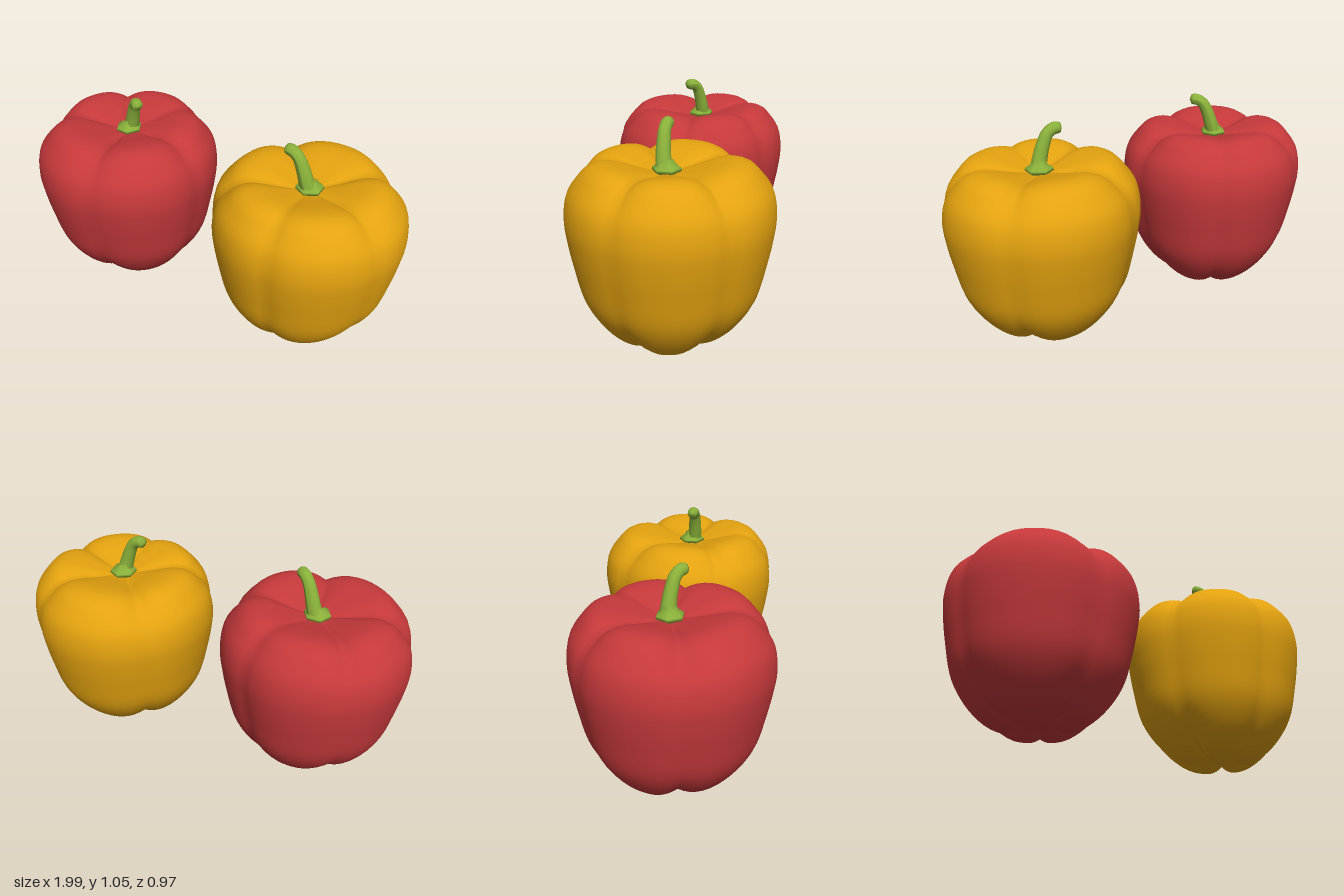
import * as THREE from 'three';
import { mergeVertices } from 'three/addons/utils/BufferGeometryUtils.js';

// Silhouette of the fattest lobe, from the bottom dimple up to the stem dimple
const PROFILE = [
  [0, 0.04], [0.06, 0.03], [0.144, 0.003], [0.213, 0.025], [0.288, 0.08], [0.357, 0.16],
  [0.415, 0.264], [0.454, 0.42], [0.476, 0.536], [0.487, 0.647], [0.468, 0.757], [0.42, 0.826],
  [0.376, 0.87], [0.315, 0.89], [0.26, 0.886], [0.195, 0.872], [0.12, 0.85], [0.05, 0.832], [0, 0.828],
];
// Creases between lobes: angle, radius there, and how deep the crease cuts at top and bottom
const GROOVES = [
  { angle: 20, radius: 0.456, depth: 0.9 },
  { angle: 90, radius: 0.436, depth: 0.5 },
  { angle: 154, radius: 0.452, depth: 0.9 },
  { angle: 229, radius: 0.463, depth: 1 },
  { angle: 315, radius: 0.46, depth: 1 },
];
// Radius of the lobe that follows each crease
const LOBES = [0.462, 0.462, 0.48, 0.49, 0.478];
const STEPS = 14;
const ROWS = 48;

// Lobed body: the profile swept round, pinched at each crease
function bodyGeometry() {
  const curve = new THREE.CatmullRomCurve3(PROFILE.map(([r, y]) => new THREE.Vector3(r, y, 0)));
  const rows = curve.getSpacedPoints(ROWS);
  const around = LOBES.length * STEPS;
  const positions = [], index = [];
  for (const p of rows) {
    const r0 = Math.max(0, p.x);
    const fade = THREE.MathUtils.smoothstep(r0, 0, 0.2);
    const ends = Math.pow(Math.abs(p.y - 0.45) / 0.45, 3);
    for (let i = 0; i < around; i++) {
      const lobe = Math.floor(i / STEPS);
      const t = (i % STEPS) / STEPS;
      const from = GROOVES[lobe], to = GROOVES[(lobe + 1) % GROOVES.length];
      const span = (to.angle - from.angle + 360) % 360;
      const angle = THREE.MathUtils.degToRad(from.angle + span * t);
      const near = t < 0.5 ? from : to;
      const pinch = Math.pow(Math.abs(2 * t - 1), 2.8);
      const radius = THREE.MathUtils.lerp(LOBES[lobe], near.radius, pinch) / 0.487;
      const cut = 1 - 0.1 * near.depth * pinch * ends * fade;
      const r = r0 * radius * cut;
      positions.push(r * Math.cos(angle), 0.45 + (p.y - 0.45) * cut, r * Math.sin(angle));
    }
  }
  for (let j = 0; j < ROWS; j++) {
    for (let i = 0; i < around; i++) {
      const a = j * around + i, b = j * around + (i + 1) % around;
      index.push(a, a + around, b, b, a + around, b + around);
    }
  }
  let geometry = new THREE.BufferGeometry();
  geometry.setAttribute('position', new THREE.Float32BufferAttribute(positions, 3));
  geometry.setIndex(index);
  geometry = mergeVertices(geometry, 1e-5);
  geometry.computeVertexNormals();
  return geometry;
}

// Curved stem: a tube narrowed towards a rounded tip
function stemGeometry() {
  const path = new THREE.CatmullRomCurve3([
    [0.005, 0.82, 0.01], [-0.015, 0.89, 0.018], [-0.035, 0.95, 0.02],
    [-0.06, 1.0, 0.02], [-0.092, 1.022, 0.016], [-0.132, 1.022, 0.01],
  ].map((p) => new THREE.Vector3(...p)));
  const rows = 28, sides = 12;
  const geometry = new THREE.TubeGeometry(path, rows, 1, sides);
  const pos = geometry.attributes.position;
  const v = new THREE.Vector3();
  for (let i = 0; i < pos.count; i++) {
    const t = Math.floor(i / (sides + 1)) / rows;
    const c = path.getPointAt(t);
    const tip = Math.sqrt(Math.max(0, 1 - Math.pow(t, 36)));
    const width = THREE.MathUtils.lerp(0.04, 0.029, Math.min(1, t * 1.4)) * tip;
    v.fromBufferAttribute(pos, i).sub(c).multiplyScalar(width).add(c);
    pos.setXYZ(i, v.x, v.y, v.z);
  }
  geometry.computeVertexNormals();
  return geometry;
}

// Small six-sided collar where the stem meets the body
function collarGeometry() {
  const points = [[0.04, 0.815], [0.068, 0.838], [0.066, 0.85], [0.04, 0.868], [0.03, 0.89]];
  return new THREE.LatheGeometry(points.map(([r, y]) => new THREE.Vector2(r, y)), 6);
}

export function createModel() {
  const material = (name, color) => new THREE.MeshStandardMaterial({ name, color });
  const green = material('stem green', 0x8ab13a);
  const body = bodyGeometry(), stem = stemGeometry(), collar = collarGeometry();

  const pepper = (name, skin, x, turn) => {
    const group = new THREE.Group();
    group.name = name;
    const add = (part, geometry, mat) => {
      const mesh = new THREE.Mesh(geometry, mat);
      mesh.name = part;
      group.add(mesh);
    };
    add('body', body, skin);
    add('stem', stem, green);
    add('stemCollar', collar, green);
    group.position.x = x;
    group.rotation.y = THREE.MathUtils.degToRad(turn);
    return group;
  };

  const model = new THREE.Group();
  model.name = 'bellPeppers';
  model.add(
    pepper('yellowPepper', material('yellow skin', 0xe3a20f), 0.515, 0),
    pepper('redPepper', material('red skin', 0xc6393b), -0.525, 148),
  );
  return model;
}
